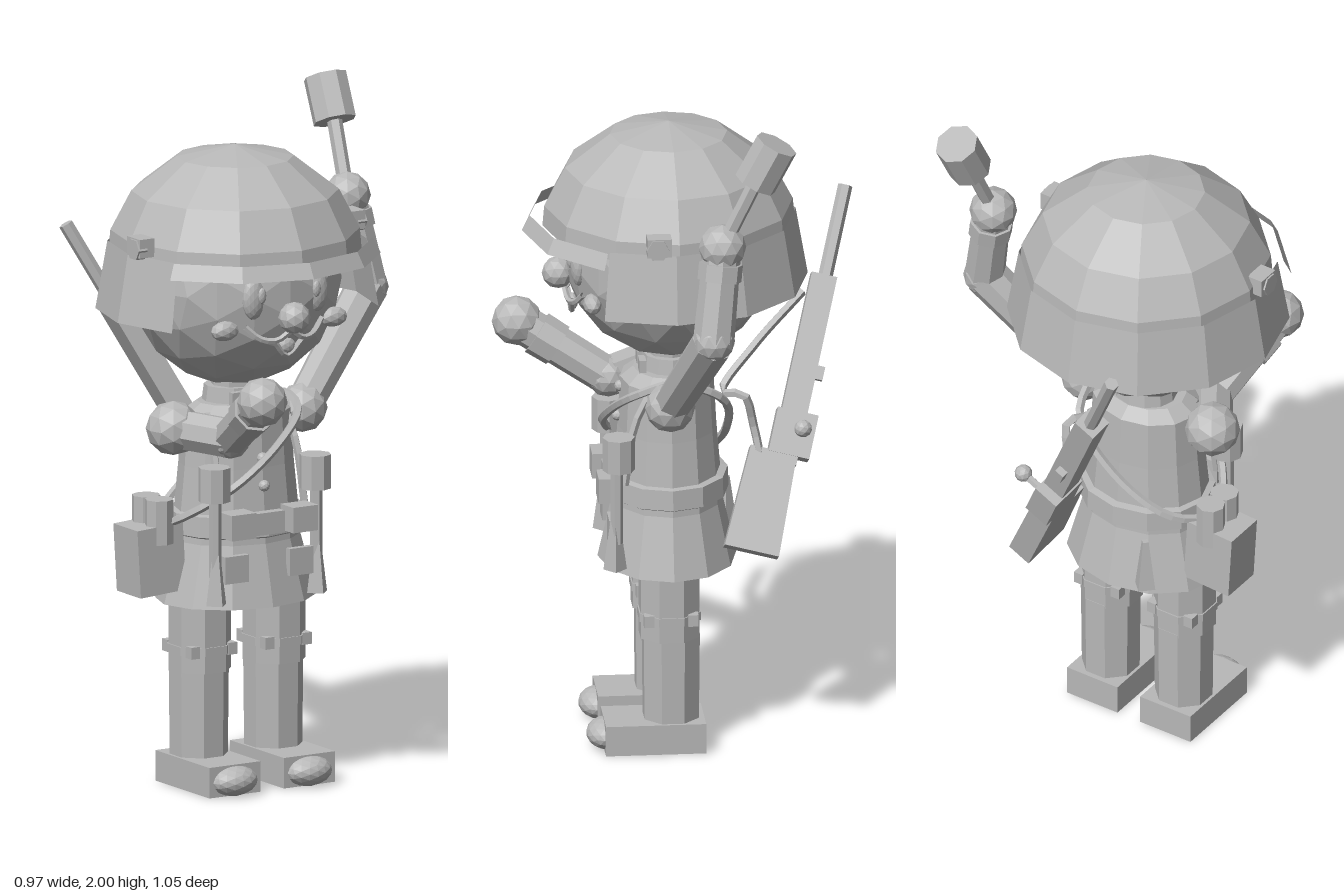
import * as THREE from 'three';

const V = (x, y, z) => new THREE.Vector3(x, y, z);
const CX = -0.085; // body axis

export function createModel() {
  const model = new THREE.Group();
  const gray = new THREE.MeshStandardMaterial({ color: 0xb8b8b8, flatShading: true, side: THREE.DoubleSide });
  gray.name = 'plain gray';

  const add = (name, geo, x = 0, y = 0, z = 0, parent = model) => {
    const m = new THREE.Mesh(geo, gray);
    m.name = name;
    m.position.set(x, y, z);
    parent.add(m);
    return m;
  };
  const box = (name, w, h, d, x, y, z, parent) => add(name, new THREE.BoxGeometry(w, h, d), x, y, z, parent);
  const ball = (name, r, x, y, z, sx = 1, sy = 1, sz = 1, detail = 1) => {
    const m = add(name, new THREE.IcosahedronGeometry(r, detail), x, y, z);
    m.scale.set(sx, sy, sz);
    return m;
  };
  const limb = (name, a, b, ra, rb, sides = 8) => {
    const d = b.clone().sub(a), mid = a.clone().add(b).multiplyScalar(0.5);
    const m = add(name, new THREE.CylinderGeometry(rb, ra, d.length(), sides), mid.x, mid.y, mid.z);
    m.quaternion.setFromUnitVectors(V(0, 1, 0), d.normalize());
    return m;
  };
  const tube = (name, pts, r, closed = false, seg = 16) =>
    add(name, new THREE.TubeGeometry(new THREE.CatmullRomCurve3(pts.map(p => V(...p)), closed), seg, r, 5, closed));
  const lathe = (name, pts, sides, sx, sz, z) => {
    const m = add(name, new THREE.LatheGeometry(pts.map(p => new THREE.Vector2(...p)), sides), CX, 0, z);
    m.scale.set(sx, 1, sz);
    return m;
  };

  // Head and face
  ball('head', 0.31, CX, 1.485, 0.02, 1, 1, 1, 2);
  ball('nose', 0.047, CX, 1.425, 0.345);
  for (const s of [-1, 1]) {
    ball('eye', 0.06, CX + s * 0.108, 1.485, 0.295, 0.6, 1.05, 0.4, 2);
    ball('pupil', 0.022, CX + s * 0.093, 1.495, 0.318, 0.6, 1.1, 0.4);
    ball('cheek', 0.045, CX + s * 0.185, 1.392, 0.262, 1, 0.66, 0.6);
    tube('eyebrow', [[CX + s * 0.16, 1.54, 0.27], [CX + s * 0.11, 1.56, 0.295], [CX + s * 0.05, 1.545, 0.31]], 0.008, false, 6);
    tube('smile', [[CX + s * 0.13, 1.40, 0.285], [CX + s * 0.09, 1.365, 0.305], [CX + s * 0.045, 1.358, 0.32],
      [CX, 1.385, 0.328]], 0.009, false, 8);
  }
  tube('lowerLip', [[CX - 0.05, 1.355, 0.312], [CX, 1.308, 0.305], [CX + 0.05, 1.355, 0.312]], 0.009, false, 8);
  ball('tongue', 0.03, CX, 1.335, 0.302, 1, 0.8, 0.5);

  // Helmet: dome, deep neck guard, shallow front brim
  lathe('helmetDome', [[0.365, 1.57], [0.36, 1.63], [0.30, 1.745], [0.17, 1.845], [0.001, 1.88]], 12, 1, 1, 0.025);
  const deg = Math.PI / 180;
  const guard = add('neckGuard', new THREE.CylinderGeometry(0.378, 0.413, 0.2, 8, 1, true, 60 * deg, 240 * deg), CX, 1.5, 0.035);
  guard.scale.x = 0.985;
  add('frontBrim', new THREE.CylinderGeometry(0.392, 0.415, 0.045, 4, 1, true, -60 * deg, 120 * deg), CX, 1.58, 0.035);
  for (const s of [-1, 1]) {
    box('helmetLug', 0.05, 0.055, 0.07, CX + s * 0.36, 1.63, 0.085);
    const bolt = add('helmetBolt', new THREE.CylinderGeometry(0.033, 0.033, 0.03, 6), CX + s * 0.375, 1.625, 0.09);
    bolt.rotation.z = Math.PI / 2;
  }

  // Coat, collar, belt and neck
  lathe('coat', [[0.001, 1.13], [0.12, 1.13], [0.165, 1.10], [0.175, 0.95], [0.19, 0.80], [0.195, 0.73],
    [0.245, 0.55], [0.001, 0.56]].reverse(), 12, 1, 0.82, 0.03);
  lathe('collar', [[0.10, 1.10], [0.09, 1.175], [0.06, 1.175]], 12, 1, 0.9, 0.02);
  lathe('belt', [[0.198, 0.75], [0.208, 0.755], [0.205, 0.815], [0.18, 0.82]], 12, 1, 0.86, 0.03);
  add('neck', new THREE.CylinderGeometry(0.07, 0.07, 0.12, 8), CX, 1.16, 0.02);
  for (const [y, z] of [[1.07, 0.165], [0.98, 0.172], [0.90, 0.182]]) ball('button', 0.017, CX, y, z);
  box('buckle', 0.10, 0.065, 0.03, CX, 0.795, 0.2);
  for (const s of [-1, 1]) {
    box('beltPouch', 0.085, 0.075, 0.07, CX + s * 0.105, 0.80, 0.205);
    box('collarTab', 0.05, 0.045, 0.02, CX + s * 0.04, 1.145, 0.105);
    box('coatPocket', 0.08, 0.08, 0.02, CX + s * 0.11, 0.67, 0.2);

    // Stick charges hanging from the belt
    const x = CX + s * 0.172;
    add('chargeHead', new THREE.CylinderGeometry(0.047, 0.047, 0.10, 8), x, 0.925, 0.185);
    add('chargeHandle', new THREE.CylinderGeometry(0.018, 0.018, 0.24, 6), x, 0.77, 0.19);
    add('chargeFrog', new THREE.CylinderGeometry(0.012, 0.034, 0.16, 4), x, 0.65, 0.195);
    tube('harnessStrap', [[CX + s * 0.13, 1.11, 0.08], [CX + s * 0.14, 1.0, 0.135], [CX + s * 0.15, 0.82, 0.165]], 0.012, false, 6);

    // Legs with gaiters and boots
    const lx = CX + s * 0.127;
    add('trouserLeg', new THREE.CylinderGeometry(0.092, 0.092, 0.25, 8), lx, 0.475, 0.035).rotation.y = Math.PI / 8;
    add('gaiter', new THREE.CylinderGeometry(0.088, 0.085, 0.27, 8), lx, 0.225, 0.03).rotation.y = Math.PI / 8;
    add('gaiterStrap', new THREE.CylinderGeometry(0.096, 0.096, 0.025, 8), lx, 0.415, 0.035).rotation.y = Math.PI / 8;
    for (let i = 0; i < 4; i++) {
      const a = i * Math.PI / 2 + Math.PI / 4;
      box('strapStud', 0.03, 0.035, 0.03, lx + 0.09 * Math.sin(a), 0.415, 0.035 + 0.09 * Math.cos(a));
    }
    box('boot', 0.175, 0.09, 0.29, lx, 0.055, 0.08);
    ball('bootToe', 0.075, lx, 0.052, 0.215, 1, 0.6, 0.8, 2);
  }

  // Raised left arm holding a stick charge
  const sL = V(0.135, 1.08, 0.04), eL = V(0.42, 1.385, -0.06), hL = V(0.37, 1.655, -0.09);
  ball('leftShoulder', 0.073, ...sL);
  limb('leftUpperArm', sL, eL, 0.055, 0.063);
  ball('leftElbow', 0.062, ...eL);
  limb('leftForearm', eL, hL, 0.06, 0.055);
  limb('leftCuff', eL.clone().lerp(hL, 0.65), eL.clone().lerp(hL, 0.83), 0.064, 0.064);
  ball('leftHand', 0.069, ...hL);
  limb('raisedHandle', hL, V(0.388, 1.87, -0.19), 0.022, 0.022, 6);
  limb('raisedChargeHead', V(0.387, 1.855, -0.183), V(0.393, 1.975, -0.245), 0.064, 0.064);

  // Right arm reaching forward
  const sR = V(-0.305, 1.07, 0.04), eR = V(-0.205, 1.055, 0.19), hR = V(-0.26, 1.215, 0.448);
  ball('rightShoulder', 0.08, ...sR);
  limb('rightUpperArm', sR, eR, 0.06, 0.06);
  ball('rightElbow', 0.06, ...eR);
  limb('rightForearm', eR, hR, 0.056, 0.058);
  limb('rightCuff', eR.clone().lerp(hR, 0.55), eR.clone().lerp(hR, 0.78), 0.064, 0.066);
  ball('rightHand', 0.073, ...hR);

  // Satchel, flasks and shoulder strap
  box('satchel', 0.155, 0.2, 0.13, -0.36, 0.69, 0.0).rotation.z = 0.06;
  for (const z of [-0.035, 0.035]) add('flask', new THREE.CylinderGeometry(0.042, 0.042, 0.13, 8), -0.35, 0.8, z);
  tube('satchelStrap', [[-0.32, 0.8, 0.06], [-0.2, 0.91, 0.2], [-0.04, 1.02, 0.19], [0.07, 1.1, 0.12], [0.08, 1.13, 0.02],
    [0.05, 1.07, -0.12], [-0.08, 0.93, -0.14], [-0.24, 0.82, -0.1], [-0.31, 0.79, -0.02]], 0.013, true, 40);

  // Spade frog at the back
  add('backFrog', new THREE.CylinderGeometry(0.012, 0.035, 0.16, 4), -0.2, 0.66, -0.15);

  // Rifle slung across the back
  const rifle = new THREE.Group();
  rifle.name = 'rifle';
  rifle.position.set(-0.086, 1.1, -0.365);
  const d = V(-0.45, 0.89, -0.26).normalize();
  const w = V(0, 0, 1).addScaledVector(d, -d.z).normalize();
  rifle.quaternion.setFromRotationMatrix(new THREE.Matrix4().makeBasis(d.clone().cross(w), d, w));
  model.add(rifle);
  const stock = new THREE.BoxGeometry(0.075, 0.30, 0.16);
  const p = stock.attributes.position;
  for (let i = 0; i < p.count; i++) if (p.getY(i) > 0) p.setZ(i, p.getZ(i) * 0.85);
  box('rifleReceiver', 0.07, 0.56, 0.075, 0, 0, 0, rifle);
  box('rifleBreech', 0.08, 0.13, 0.12, 0, -0.19, -0.01, rifle);
  add('rifleStock', stock, 0, -0.40, 0.035, rifle);
  add('rifleBarrel', new THREE.CylinderGeometry(0.021, 0.021, 0.30, 6), 0, 0.40, -0.005, rifle);
  box('rifleSight', 0.03, 0.04, 0.03, 0, 0.0, -0.045, rifle);
  add('boltArm', new THREE.CylinderGeometry(0.012, 0.012, 0.09, 6), 0.06, -0.18, -0.03, rifle).rotation.z = Math.PI / 2;
  add('boltKnob', new THREE.IcosahedronGeometry(0.026, 1), 0.105, -0.18, -0.03, rifle);
  tube('rifleSling', [[-0.17, 1.31, -0.37], [-0.06, 1.19, -0.22], [0.02, 1.08, -0.12], [0.05, 1.08, -0.18],
    [0.03, 0.98, -0.21], [0.05, 0.88, -0.23]], 0.013, false, 20);

  return model;
}
